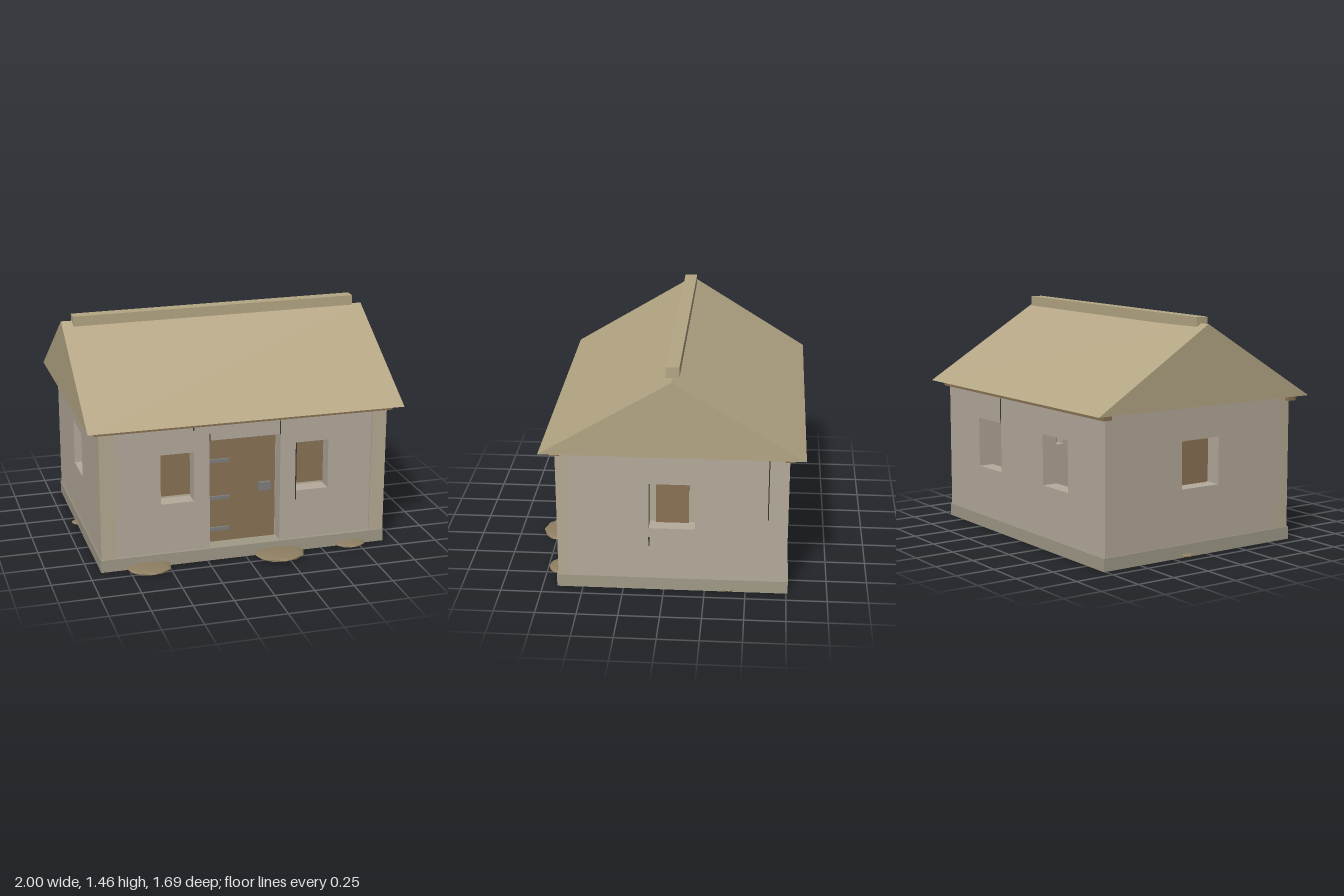
import * as THREE from 'three';

const paint = (color) => new THREE.MeshStandardMaterial({ color, flatShading: true });

export function createModel() {
  const house = new THREE.Group();
  house.name = 'cottage';
  const wallMat = paint(0xb5ab9c), postMat = paint(0xb5ab94), baseMat = paint(0xa09a88);
  const roofMat = paint(0xb5a785), woodMat = paint(0x8b7355), ironMat = paint(0x808080);
  const crackMat = paint(0x3a3632), rockMat = paint(0x8f7f62);

  const add = (name, geometry, material) => {
    const mesh = new THREE.Mesh(geometry, material);
    mesh.name = name;
    house.add(mesh);
    return mesh;
  };
  // Box given by its lower and upper bounds on each axis
  const box = (name, [x0, x1], [y0, y1], [z0, z1], material) => {
    const mesh = add(name, new THREE.BoxGeometry(x1 - x0, y1 - y0, z1 - z0), material);
    mesh.position.set((x0 + x1) / 2, (y0 + y1) / 2, (z0 + z1) / 2);
    return mesh;
  };

  // Wall outline with window holes [x0, x1, y0, y1] and an optional door notch
  const wall = (name, x0, x1, windows, door) => {
    const y0 = 0.08, y1 = 0.925;
    const points = [[x0, y0]];
    if (door) {
      const [d0, d1, top] = door;
      points.push([d0, y0], [d0, top], [d1, top], [d1, y0]);
    }
    points.push([x1, y0], [x1, y1], [x0, y1]);
    const shape = new THREE.Shape(points.map(([x, y]) => new THREE.Vector2(x, y)));
    for (const [a, b, c, d] of windows) {
      shape.holes.push(new THREE.Path([[a, c], [a, d], [b, d], [b, c]].map(([x, y]) => new THREE.Vector2(x, y))));
    }
    return add(name, new THREE.ExtrudeGeometry(shape, { depth: 0.1, bevelEnabled: false }), wallMat);
  };

  // Foundation and walls
  box('foundation', [-0.925, 0.92], [0, 0.08], [-0.76, 0.66], baseMat);
  wall('frontWall', -0.83, 0.83, [[-0.54, -0.33, 0.4, 0.72], [0.33, 0.54, 0.4, 0.72]], [-0.23, 0.225, 0.785])
    .position.z = 0.54;
  wall('backWall', -0.82, 0.82, [[-0.53, -0.25, 0.4, 0.72], [0.25, 0.53, 0.4, 0.72]]).position.z = -0.75;
  for (const [name, x] of [['leftWall', 0.82], ['rightWall', -0.92]]) {
    const side = wall(name, -0.57, 0.75, [[-0.09, 0.19, 0.42, 0.715]]);
    side.rotation.y = Math.PI / 2;
    side.position.x = x;
  }

  // Mirrored corner posts, window shutters and side window boards
  for (const s of [-1, 1]) {
    const span = (a, b) => (s > 0 ? [a, b] : [-b, -a]);
    box('cornerPost', span(0.825, 0.92), [0.08, 0.925], [0.57, 0.65], postMat);
    box('frontShutter', span(0.335, 0.535), [0.42, 0.695], [0.535, 0.56], woodMat);
    box('sideShutter', span(0.84, 0.865), [0.435, 0.7], [-0.15, 0.05], woodMat);
  }

  // Door with strap hinges and latch
  box('door', [-0.222, 0.212], [0.088, 0.768], [0.54, 0.575], woodMat);
  for (const y of [0.175, 0.383, 0.628]) {
    box('hinge', [-0.22, -0.088], [y - 0.011, y + 0.011], [0.575, 0.588], ironMat);
  }
  box('latch', [0.1, 0.18], [0.405, 0.46], [0.575, 0.595], ironMat);

  // Eave beams
  box('frontEaveBeam', [-0.95, 0.945], [0.892, 0.925], [0.62, 0.68], woodMat);
  box('backEaveBeam', [-0.95, 0.945], [0.892, 0.925], [-0.78, -0.72], woodMat);

  // Solid gable roof with a slightly sagging ridge
  const gable = new THREE.Shape([[-0.74, 0.925], [0.845, 0.925], [0.055, 1.4]].map(([x, y]) => new THREE.Vector2(x, y)));
  const roofGeo = new THREE.ExtrudeGeometry(gable, { depth: 2, bevelEnabled: false });
  roofGeo.rotateY(Math.PI / 2).translate(-1, 0, 0);
  const p = roofGeo.attributes.position;
  for (let i = 0; i < p.count; i++) {
    if (p.getY(i) > 1.2 && p.getX(i) < 0) p.setXYZ(i, p.getX(i), 1.413, -0.062);
  }
  roofGeo.computeVertexNormals();
  add('roof', roofGeo, roofMat);
  box('ridgeBeam', [-0.93, 0.925], [1.393, 1.457], [-0.095, -0.015], roofMat).rotation.z = 0.008;

  // Hairline cracks: front and back walls [x, y0, y1, z], then side walls [x, y0, y1, z]
  for (const [x, y0, y1, z] of [
    [-0.33, 0.86, 0.88, 0.64], [-0.228, 0.785, 0.83, 0.64], [0.222, 0.785, 0.875, 0.64],
    [0.328, 0.34, 0.72, 0.64], [0.25, 0.72, 0.88, -0.75],
    [0.92, 0.5, 0.92, -0.63], [0.92, 0.3, 0.36, 0.09],
  ]) {
    box('crack', [x - 0.003, x + 0.003], [y0, y1], [z - 0.003, z + 0.003], crackMat);
  }

  // Flat stones around the foundation: x, z, half width, half depth, height
  for (const [x, z, rx, rz, h] of [
    [-0.63, 0.69, 0.138, 0.125, 0.036], [0.205, 0.71, 0.158, 0.138, 0.042], [0.69, 0.66, 0.1, 0.085, 0.03],
    [0.9, -0.4, 0.036, 0.035, 0.022], [-0.91, -0.15, 0.05, 0.045, 0.024],
  ]) {
    const stone = add('stone', new THREE.IcosahedronGeometry(1, 1), rockMat);
    stone.scale.set(rx, h / 2, rz);
    stone.position.set(x, h / 2, z);
  }
  return house;
}
